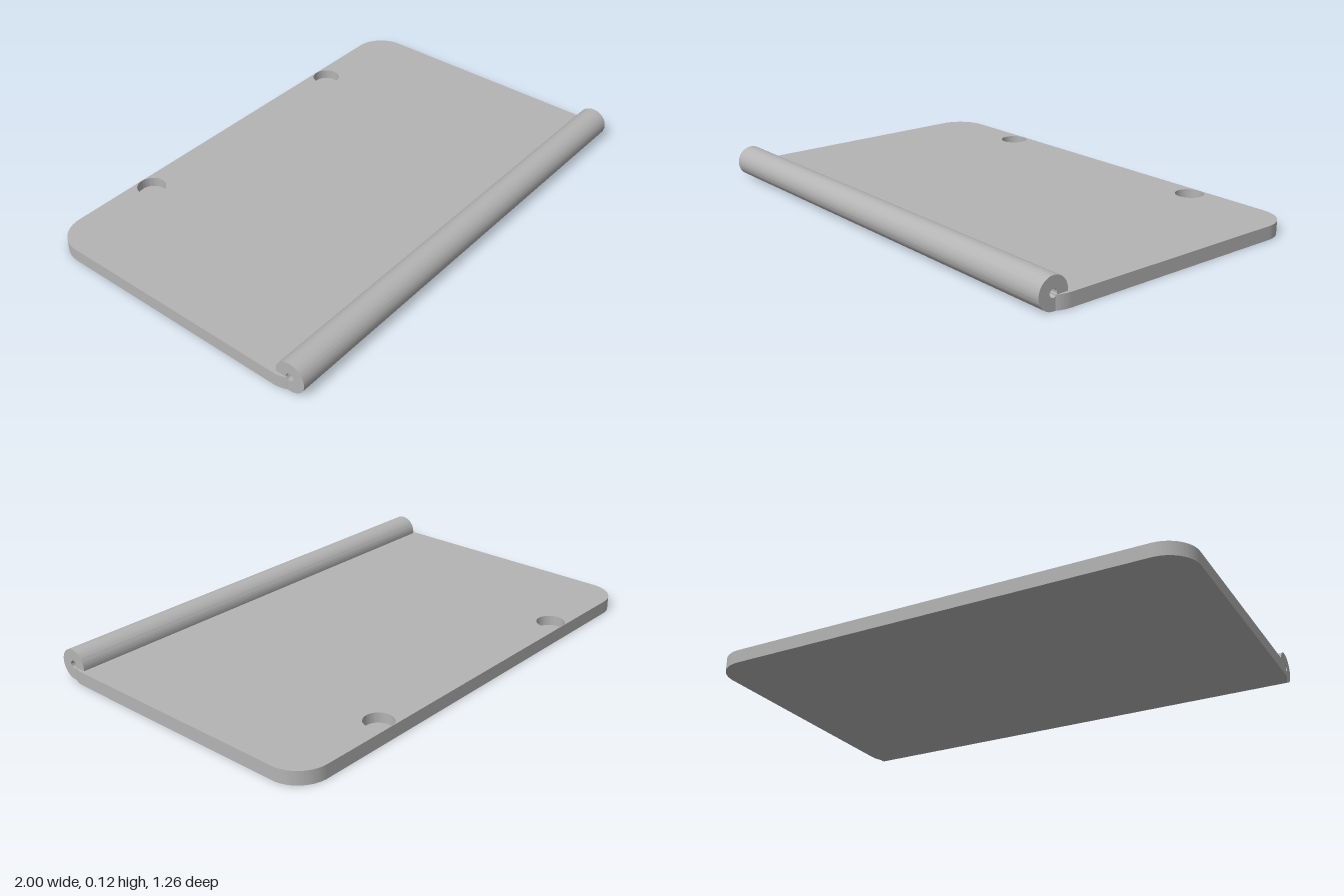
import * as THREE from 'three';
import { toCreasedNormals } from 'three/addons/utils/BufferGeometryUtils.js';

const BACK = 0.63, CORNER = 0.13;        // plate edge and corner radius
const THICK = 0.055, FLOOR = 0.014;      // plate thickness, pocket floor height
const BARREL_Z = 0.567, BARREL_R = 0.0625, BARREL_X = 0.987, JOIN_Z = 0.5;

const extrude = (shape, depth) => toCreasedNormals(
  new THREE.ExtrudeGeometry(shape, { depth, bevelEnabled: false, curveSegments: 32 }), 0.5);

// Plate outline, drawn with shape y = -z; the front corners are cut off by the barrel
function plateShape(withPockets) {
  const s = new THREE.Shape();
  const c = BACK - CORNER, a = Math.acos((BARREL_X - 1 + CORNER) / CORNER);
  s.moveTo(BARREL_X, -JOIN_Z);
  s.absarc(1 - CORNER, -c, CORNER, -a, 0, false);
  s.absarc(1 - CORNER, c, CORNER, 0, Math.PI / 2, false);
  s.absarc(CORNER - 1, c, CORNER, Math.PI / 2, Math.PI, false);
  s.absarc(CORNER - 1, -c, CORNER, Math.PI, Math.PI + a, false);
  s.lineTo(-BARREL_X, -JOIN_Z);
  s.closePath();
  if (withPockets) {
    for (const x of [-0.545, 0.545]) {
      s.holes.push(new THREE.Path().absarc(x, 0.571, 0.058, 0, Math.PI * 2, true));
    }
  }
  return s;
}

// Barrel section (shape x = z): a round knuckle running flush into the plate
function barrelShape() {
  const s = new THREE.Shape();
  const start = Math.PI + Math.asin((BARREL_R - THICK) / BARREL_R);
  s.moveTo(JOIN_Z, 0);
  s.lineTo(JOIN_Z, THICK);
  s.absarc(BARREL_Z, BARREL_R, BARREL_R, start, -Math.PI / 2, true);
  s.closePath();
  s.holes.push(new THREE.Path().absarc(BARREL_Z, BARREL_R, 0.016, 0, Math.PI * 2, false));
  return s;
}

export function createModel() {
  const group = new THREE.Group();
  group.name = 'hingedPlate';
  const grey = new THREE.MeshStandardMaterial({ color: 0xb4b4b4 });
  grey.name = 'grey';
  const add = (name, geometry) => {
    const mesh = new THREE.Mesh(geometry, grey);
    mesh.name = name;
    group.add(mesh);
  };

  // Solid base layer below, layer with the two round pockets above
  add('plateBase', extrude(plateShape(false), FLOOR).rotateX(-Math.PI / 2));
  add('plateWithPockets',
    extrude(plateShape(true), THICK - FLOOR).rotateX(-Math.PI / 2).translate(0, FLOOR, 0));

  // Hinge barrel with pin hole along the front edge
  add('hingeBarrel',
    extrude(barrelShape(), 2 * BARREL_X).rotateY(-Math.PI / 2).translate(BARREL_X, 0, 0));
  return group;
}
